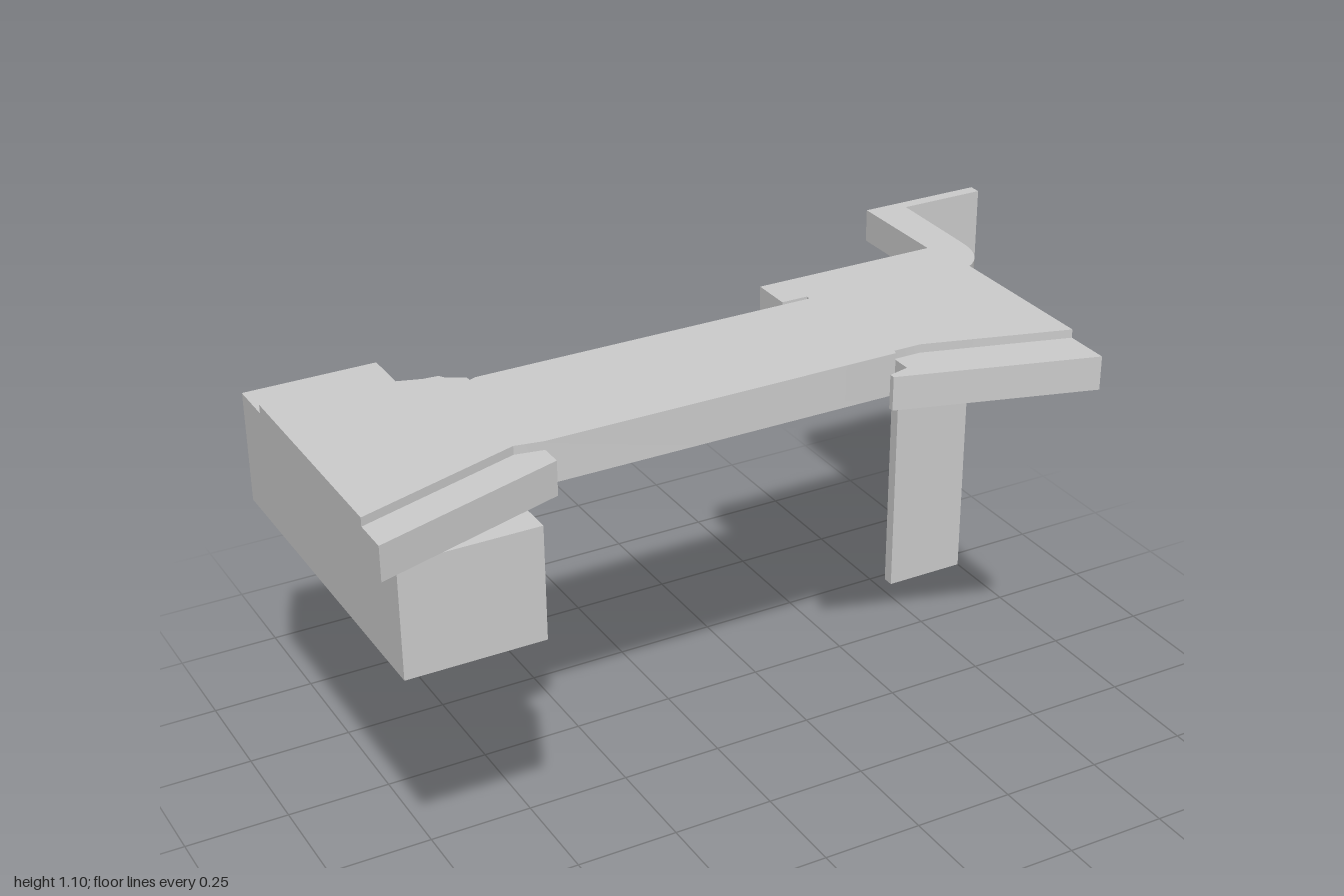
import * as THREE from 'three';
import { toCreasedNormals } from 'three/addons/utils/BufferGeometryUtils.js';

const material = new THREE.MeshStandardMaterial({ color: 0xcccccc });
const BASE = 1.0, WING_TOP = 1.08, DECK_TOP = 1.1;

// Plan outline given as x, z pairs
function outline(points) {
  return new THREE.Shape(points.map(([x, z]) => new THREE.Vector2(x, z)));
}

// Level slab from the base height up to the given top
function slab(name, shape, top) {
  const geometry = new THREE.ExtrudeGeometry(shape, { depth: top - BASE, bevelEnabled: false, curveSegments: 12 });
  geometry.rotateX(Math.PI / 2).translate(0, top, 0);
  const mesh = new THREE.Mesh(toCreasedNormals(geometry, 0.4), material);
  mesh.name = name;
  return mesh;
}

// Box from its lower and upper corners
function block(name, min, max) {
  const size = max.map((v, i) => v - min[i]);
  const mesh = new THREE.Mesh(new THREE.BoxGeometry(...size), material);
  mesh.position.set(...max.map((v, i) => (v + min[i]) / 2));
  mesh.name = name;
  return mesh;
}

export function createModel() {
  const group = new THREE.Group();
  group.name = 'bridge';

  // Deck, flaring at both ends
  group.add(slab('deck', outline([
    [-1, -0.16], [-0.65, -0.045], [-0.59, -0.045], [-0.555, -0.06], [0.28, -0.06], [0.29, -0.05],
    [0.62, -0.055], [0.69, -0.065], [0.69, 0.365], [0.355, 0.265], [0.29, 0.265], [0.285, 0.277],
    [-0.555, 0.277], [-0.62, 0.265], [-1, 0.39],
  ]), DECK_TOP));

  // Lower wings beside the flared ends
  group.add(slab('backRightWing', outline([
    [-1, -0.26], [-0.64, -0.145], [-0.605, -0.142], [-0.595, -0.127], [-0.555, -0.105],
    [-0.555, -0.06], [-0.59, -0.045], [-0.65, -0.045], [-1, -0.16],
  ]), WING_TOP));
  group.add(slab('frontRightWing', outline([
    [-1, 0.39], [-0.62, 0.265], [-0.555, 0.277], [-0.555, 0.33], [-1, 0.475],
  ]), WING_TOP));
  group.add(slab('frontLeftWing', outline([
    [0.29, 0.265], [0.355, 0.265], [0.69, 0.365], [0.69, 0.475], [0.24, 0.34], [0.24, 0.327], [0.29, 0.315],
  ]), WING_TOP));

  // Cranked wing with a rounded outer corner, leading to the tall wall
  const cranked = outline([
    [0.295, -0.11], [0.23, -0.11], [0.23, -0.21], [0.69, -0.21], [0.69, -0.48],
    [0.785, -0.48], [0.785, -0.45], [0.78, -0.2],
  ]);
  cranked.bezierCurveTo(0.78, -0.11, 0.73, -0.055, 0.64, -0.055);
  cranked.lineTo(0.29, -0.05);
  group.add(slab('backLeftWing', cranked, WING_TOP));

  // Tall thin wall and the abutment block below the deck
  group.add(block('tallWall', [0.785, 0, -0.48], [1, WING_TOP, -0.45]));
  group.add(block('abutment', [-0.95, 0.735, -0.427], [-0.635, BASE, 0.427]));
  return group;
}
